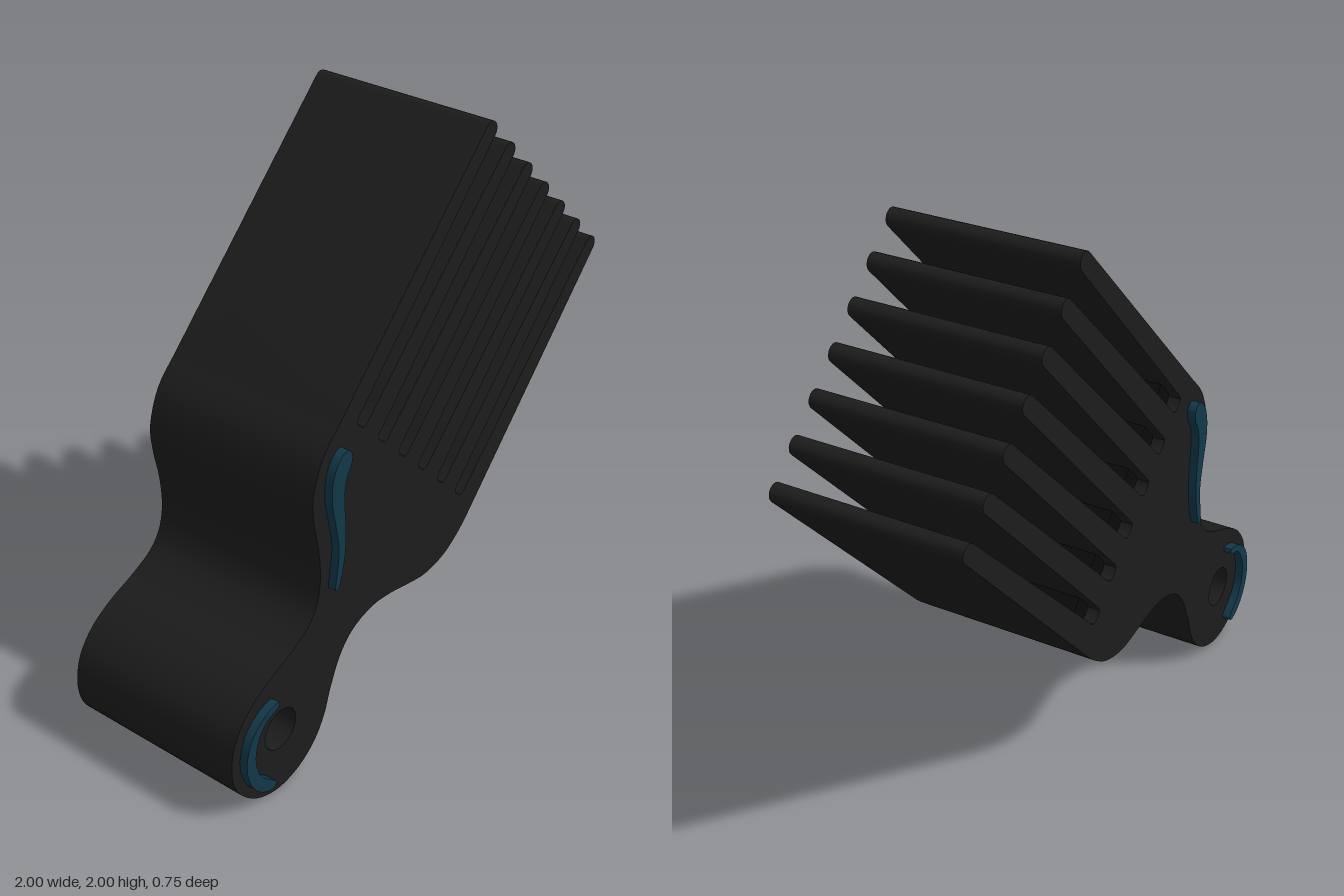
import * as THREE from 'three';
import { toCreasedNormals } from 'three/addons/utils/BufferGeometryUtils.js';

const DEPTH = 0.69, TEETH = 7, PITCH = 0.155, V0 = 0.247, TIP_U = 1.612, TIP_R = 0.032;
const S = Math.SQRT1_2;
const bodyMat = new THREE.MeshStandardMaterial({ color: 0x1c1c1c });
const coreMat = new THREE.MeshStandardMaterial({ color: 0x0b0b0b });
const accentMat = new THREE.MeshStandardMaterial({ color: 0x12384a });

// u runs along the teeth, v across them; both are turned 45 degrees from x and y
const uv = (u, v) => new THREE.Vector2((u - v) * S, (u + v) * S);
const vec = (pts) => pts.map(([x, y]) => new THREE.Vector2(x, y));

function extrude(shape, z0, depth) {
  const g = new THREE.ExtrudeGeometry(shape, { depth, bevelEnabled: false, curveSegments: 32 });
  g.translate(0, 0, z0);
  return toCreasedNormals(g, 0.6);
}

function addMesh(group, name, geometry, material) {
  const mesh = new THREE.Mesh(geometry, material);
  mesh.name = name;
  group.add(mesh);
  return mesh;
}

// Curved handle outline, then the comb edge with rounded tips and slots
function bodyShape() {
  const handle = vec([
    [-0.46, 1.255], [-0.54, 1.17], [-0.585, 1.05], [-0.58, 0.945], [-0.56, 0.84],
    [-0.553, 0.73], [-0.57, 0.64], [-0.62, 0.57], [-0.71, 0.52], [-0.82, 0.475],
    [-0.91, 0.42], [-0.975, 0.34], [-1, 0.24], [-0.985, 0.145], [-0.93, 0.07],
    [-0.86, 0.022], [-0.77, 0.002], [-0.675, 0.022], [-0.595, 0.075], [-0.54, 0.155],
    [-0.505, 0.25], [-0.457, 0.35], [-0.39, 0.42], [-0.285, 0.455], [-0.18, 0.45],
    [-0.07, 0.428], [0.02, 0.417], [0.125, 0.438], [0.21, 0.49], [0.265, 0.54],
  ]);
  const pts = new THREE.SplineCurve(handle).getPoints(116);
  for (let i = 0; i < TEETH; i++) {
    const v = V0 + i * PITCH;
    for (let k = 0; k <= 10; k++) {
      const a = -Math.PI / 2 + (k / 10) * Math.PI;
      pts.push(uv(TIP_U + Math.cos(a) * TIP_R, v + Math.sin(a) * TIP_R));
    }
    if (i < TEETH - 1) {
      const m = v + PITCH / 2;
      pts.push(uv(0.69, m - 0.031), uv(0.62, m - 0.03), uv(0.606, m - 0.025), uv(0.6, m - 0.014));
      pts.push(uv(0.6, m + 0.014), uv(0.606, m + 0.025), uv(0.62, m + 0.03), uv(0.69, m + 0.031));
    }
  }
  const shape = new THREE.Shape(pts);
  shape.holes.push(new THREE.Path().absarc(-0.762, 0.246, 0.076, 0, Math.PI * 2, true));
  return shape;
}

function splineShape(points) {
  const curve = new THREE.CatmullRomCurve3(points.map(([x, y]) => new THREE.Vector3(x, y, 0)), true);
  return new THREE.Shape(curve.getPoints(80).slice(0, -1).map((p) => new THREE.Vector2(p.x, p.y)));
}

export function createModel() {
  const group = new THREE.Group();
  group.name = 'hairPick';

  addMesh(group, 'combBody', extrude(bodyShape(), -DEPTH / 2, DEPTH), bodyMat);

  // Recessed webs closing the root of each slot
  for (let i = 0; i < TEETH - 1; i++) {
    const web = addMesh(group, 'slotWeb', new THREE.BoxGeometry(0.11, 0.07, 0.6), coreMat);
    const c = uv(0.639, V0 + (i + 0.5) * PITCH);
    web.position.set(c.x, c.y, 0);
    web.rotation.z = Math.PI / 4;
  }

  // Raised coloured inlays on both faces
  const inlays = {
    gripInlay: [
      [-0.455, 1.175], [-0.495, 1.15], [-0.522, 1.096], [-0.528, 1.016], [-0.51, 0.92],
      [-0.495, 0.82], [-0.505, 0.73], [-0.512, 0.67], [-0.5, 0.668], [-0.48, 0.715],
      [-0.463, 0.8], [-0.46, 0.893], [-0.467, 1.0], [-0.457, 1.07], [-0.43, 1.12], [-0.43, 1.155],
    ],
    ringInlay: [
      [-0.8, 0.4], [-0.86, 0.39], [-0.93, 0.335], [-0.96, 0.245], [-0.945, 0.155],
      [-0.9, 0.09], [-0.84, 0.06], [-0.82, 0.075], [-0.84, 0.1], [-0.895, 0.155],
      [-0.917, 0.235], [-0.9, 0.31], [-0.86, 0.36], [-0.8, 0.382],
    ],
  };
  for (const [name, points] of Object.entries(inlays)) {
    const shape = splineShape(points);
    addMesh(group, name + 'Front', extrude(shape, 0.335, 0.04), accentMat);
    addMesh(group, name + 'Back', extrude(shape, -0.375, 0.04), accentMat);
  }
  return group;
}
